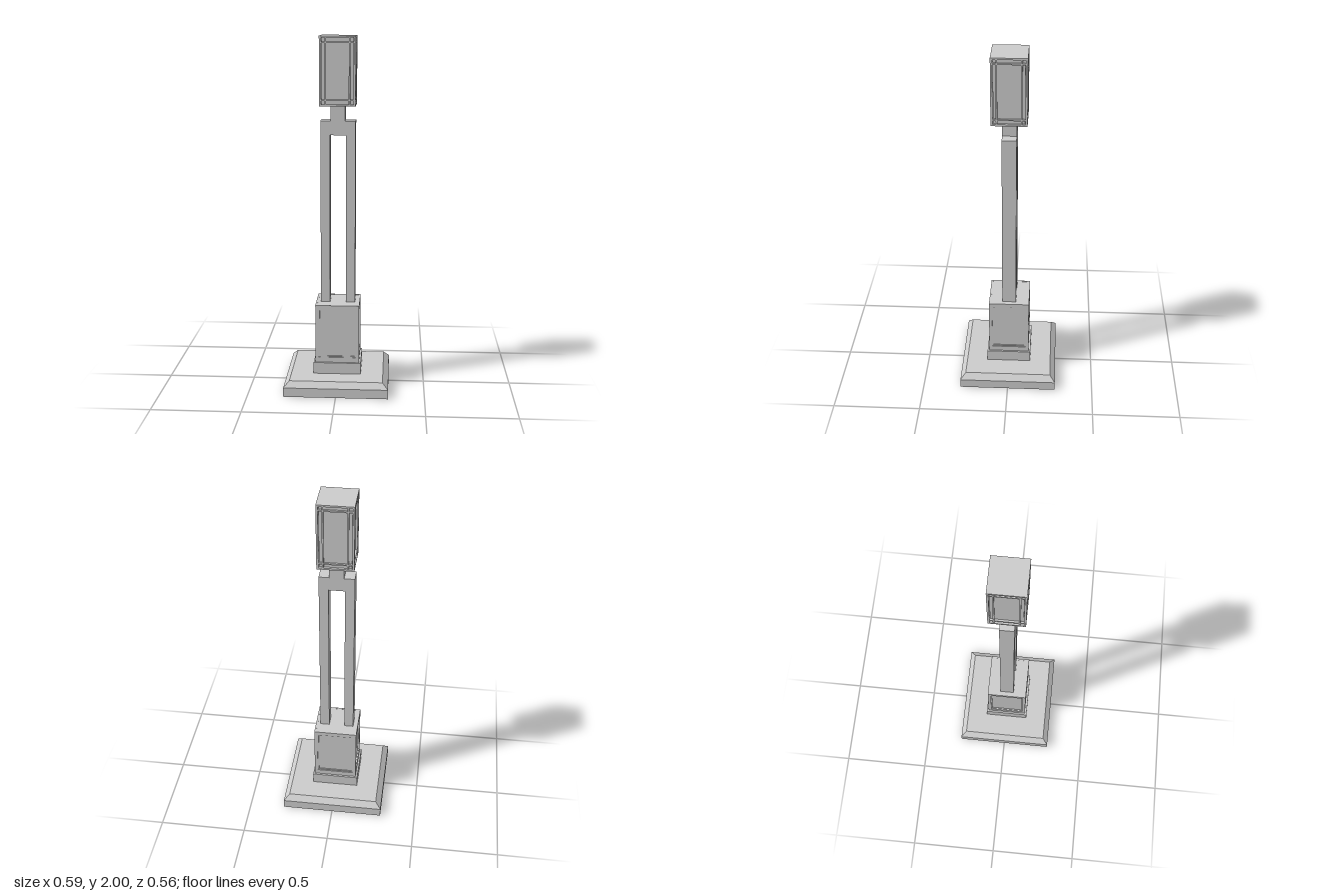
import * as THREE from 'three';

const material = new THREE.MeshStandardMaterial({ color: 0xcccccc, flatShading: true });

function add(parent, name, geometry, x = 0, y = 0, z = 0) {
  const mesh = new THREE.Mesh(geometry, material);
  mesh.name = name;
  mesh.position.set(x, y, z);
  parent.add(mesh);
  return mesh;
}

// Box centred on x and z, spanning y0 to y1
function block(parent, name, w, y0, y1, d, x = 0, z = 0) {
  return add(parent, name, new THREE.BoxGeometry(w, y1 - y0, d), x, (y0 + y1) / 2, z);
}

// Four-sided tapered slab; half sizes at the bottom, taper is the top scale
function slab(parent, name, hx, hz, y0, y1, taper) {
  const g = new THREE.CylinderGeometry(Math.SQRT2 * taper, Math.SQRT2, y1 - y0, 4, 1);
  g.rotateY(Math.PI / 4);
  g.scale(hx, 1, hz);
  return add(parent, name, g, 0, (y0 + y1) / 2, 0);
}

// Rectangular frame with a rectangular opening, facing +z
function frame(w, y0, y1, openW, o0, o1, depth) {
  const s = new THREE.Shape();
  s.moveTo(-w / 2, y0).lineTo(w / 2, y0).lineTo(w / 2, y1).lineTo(-w / 2, y1).closePath();
  const h = new THREE.Path();
  h.moveTo(-openW / 2, o0).lineTo(-openW / 2, o1).lineTo(openW / 2, o1).lineTo(openW / 2, o0).closePath();
  s.holes.push(h);
  return new THREE.ExtrudeGeometry(s, { depth, bevelEnabled: false });
}

// Calls build(group, width, distance) for each of the four sides
function fourSides(parent, name, hx, hz, build) {
  for (let i = 0; i < 4; i++) {
    const side = new THREE.Group();
    side.name = name;
    side.rotation.y = i * Math.PI / 2;
    build(side, i % 2 ? hz * 2 : hx * 2, i % 2 ? hx : hz);
    parent.add(side);
  }
}

export function createModel() {
  const model = new THREE.Group();
  model.name = 'lampPost';

  // Bevelled foot and plinth
  slab(model, 'footSlab', 0.295, 0.28, 0, 0.053, 1);
  slab(model, 'footBevel', 0.295, 0.28, 0.053, 0.085, 0.892);
  block(model, 'plinth', 0.27, 0.085, 0.15, 0.256);

  // Pedestal with a recessed panel on each side
  const pedestal = new THREE.Group();
  pedestal.name = 'pedestal';
  model.add(pedestal);
  block(pedestal, 'pedestalCore', 0.23, 0.151, 0.489, 0.214);
  fourSides(pedestal, 'pedestalSide', 0.125, 0.117, (side, w, dist) => {
    add(side, 'panelFrame', frame(w, 0.15, 0.49, w - 0.036, 0.18, 0.466, 0.01), 0, 0, dist - 0.01);
    add(side, 'panelMoulding', frame(w - 0.036, 0.18, 0.466, w - 0.05, 0.187, 0.459, 0.005), 0, 0, dist - 0.01);
  });

  // Twin post, bridge and neck in one profile
  const half = [[0.045, 0.49], [0.098, 0.49], [0.098, 1.535], [0.04, 1.535], [0.04, 1.622]];
  const outline = [...half, ...half.slice().reverse().map(([x, y]) => [-x, y]), [-0.045, 1.455], [0.045, 1.455]];
  const shape = new THREE.Shape(outline.map(([x, y]) => new THREE.Vector2(x, y)));
  add(model, 'twinPost', new THREE.ExtrudeGeometry(shape, { depth: 0.08, bevelEnabled: false }), 0, 0, -0.04);

  // Lantern: core, caps, corner posts and lattice bars
  const lantern = new THREE.Group();
  lantern.name = 'lantern';
  model.add(lantern);
  const hx = 0.1, hz = 0.098;
  block(lantern, 'lanternCore', 0.174, 1.625, 1.995, 0.17);
  block(lantern, 'lanternTop', hx * 2, 1.99, 2, hz * 2);
  block(lantern, 'lanternBottom', hx * 2, 1.62, 1.63, hz * 2);
  for (const sx of [-1, 1]) for (const sz of [-1, 1])
    block(lantern, 'cornerPost', 0.011, 1.63, 1.99, 0.011, sx * (hx - 0.0055), sz * (hz - 0.0055));
  fourSides(lantern, 'lanternSide', hx, hz, (side, w, dist) => {
    for (const s of [-1, 1])
      block(side, 'uprightBar', 0.008, 1.63, 1.99, 0.012, s * 0.066, dist - 0.008);
    for (const y of [1.654, 1.966])
      block(side, 'crossBar', w - 0.02, y - 0.004, y + 0.004, 0.011, 0, dist - 0.008);
  });

  return model;
}
